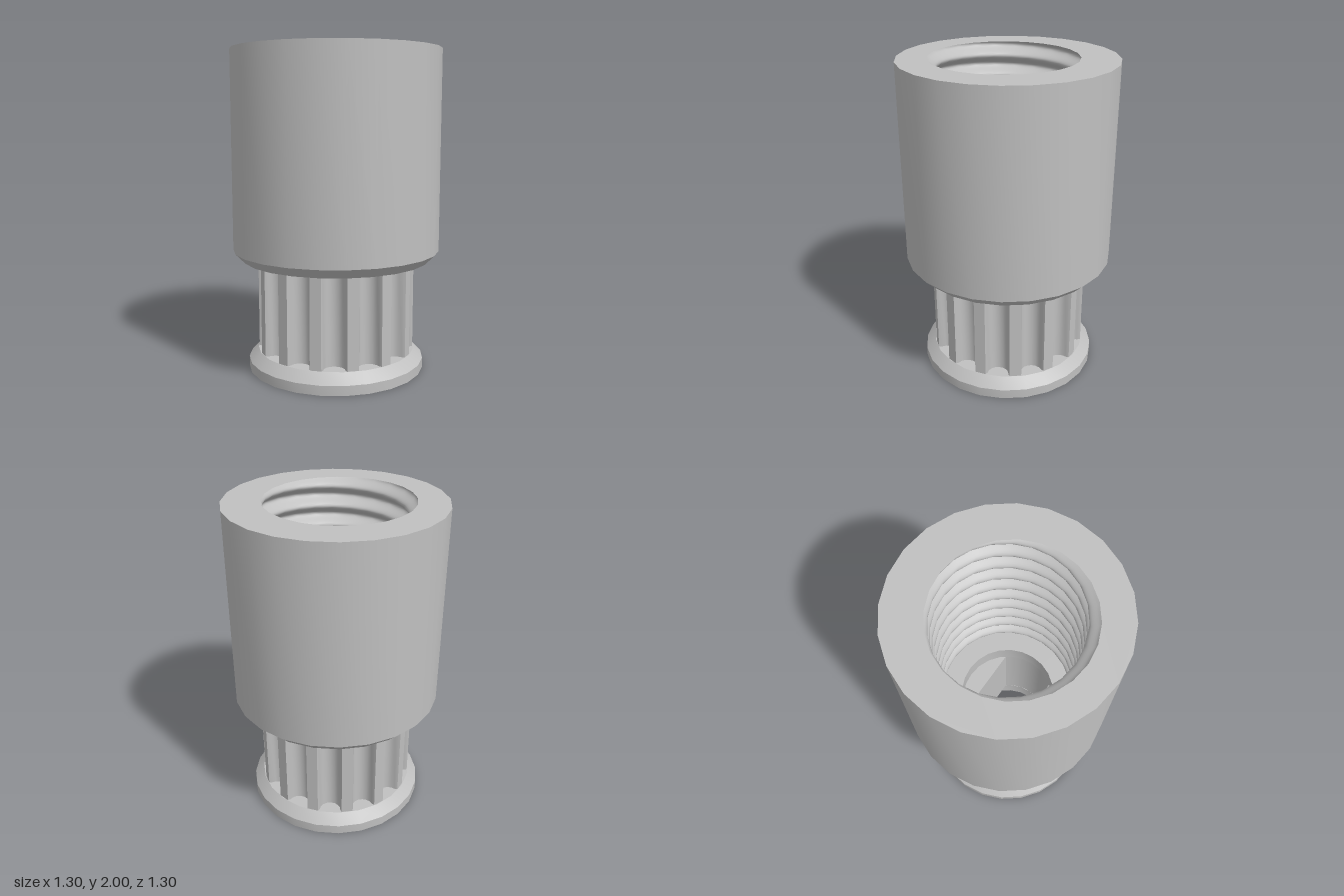
import * as THREE from 'three';
import { toCreasedNormals } from 'three/addons/utils/BufferGeometryUtils.js';

const SIDES = 24, TEETH = 14;
const BORE = 0.3, FLAT = 0.18;
const THREAD = { radius: 0.445, offset: 0.03, pitch: 0.125, bottom: 0.82, top: 2 };

const metal = new THREE.MeshStandardMaterial({ color: 0xc0c0c0 });
metal.name = 'grey metal';

function addMesh(group, name, geometry) {
  const mesh = new THREE.Mesh(geometry, metal);
  mesh.name = name;
  group.add(mesh);
}

function lathe(profile) {
  const points = profile.map(([r, y]) => new THREE.Vector2(r, y));
  return toCreasedNormals(new THREE.LatheGeometry(points, SIDES), 0.5);
}

function circlePoints(radius, cx = 0) {
  return Array.from({ length: SIDES }, (_, i) => {
    const a = (i / SIDES) * Math.PI * 2;
    return new THREE.Vector2(cx + radius * Math.cos(a), radius * Math.sin(a));
  });
}

// Toothed belt section with a double-flat shaft hole
function toothedCore() {
  const points = [];
  for (let t = 0; t < TEETH; t++) {
    const a = -Math.PI / 2 + (t / TEETH) * Math.PI * 2;
    const add = (u, r) => points.push(new THREE.Vector2(
      r * Math.cos(a) - u * Math.sin(a), r * Math.sin(a) + u * Math.cos(a)));
    add(-0.076, 0.489);
    for (let i = 0; i <= 8; i++) {
      const b = (i / 8) * Math.PI;
      add(-0.066 * Math.cos(b), 0.472 - 0.065 * Math.sin(b));
    }
    add(0.076, 0.489);
  }
  const shape = new THREE.Shape(points);
  const corner = Math.acos(FLAT / BORE);
  const hole = new THREE.Path();
  hole.absarc(0, 0, BORE, corner, Math.PI - corner, false);
  hole.absarc(0, 0, BORE, Math.PI + corner, Math.PI * 2 - corner, false);
  hole.closePath();
  shape.holes.push(hole);
  const geometry = new THREE.ExtrudeGeometry(shape, { depth: 0.58, bevelEnabled: false, curveSegments: 8 });
  geometry.rotateX(-Math.PI / 2);
  geometry.translate(0, 0.12, 0);
  return toCreasedNormals(geometry, 0.6);
}

// Internal thread: an off-centre circle twisted around the axis
function threadWall() {
  const { radius, offset, pitch, bottom, top } = THREAD;
  const rings = Math.round(((top - bottom) / pitch) * 20);
  const positions = [], index = [];
  for (let j = 0; j <= rings; j++) {
    const y = bottom + ((top - bottom) * j) / rings;
    const turn = Math.PI + ((y - top) / pitch) * Math.PI * 2;
    for (let i = 0; i < SIDES; i++) {
      const a = (i / SIDES) * Math.PI * 2;
      positions.push(
        offset * Math.cos(turn) + radius * Math.cos(a), y,
        -offset * Math.sin(turn) - radius * Math.sin(a));
      if (j < rings) {
        const p = j * SIDES + i, q = j * SIDES + ((i + 1) % SIDES);
        index.push(p, p + SIDES, q, q, p + SIDES, q + SIDES);
      }
    }
  }
  const geometry = new THREE.BufferGeometry();
  geometry.setAttribute('position', new THREE.Float32BufferAttribute(positions, 3));
  geometry.setIndex(index);
  geometry.computeVertexNormals();
  return geometry;
}

// Flat rim around the threaded opening
function topRim() {
  const shape = new THREE.Shape(circlePoints(0.65));
  shape.holes.push(new THREE.Path(circlePoints(THREAD.radius, -THREAD.offset)));
  const geometry = new THREE.ShapeGeometry(shape);
  geometry.rotateX(-Math.PI / 2);
  geometry.translate(0, THREAD.top, 0);
  return geometry;
}

export function createModel() {
  const group = new THREE.Group();
  group.name = 'threadedBeltPulley';

  addMesh(group, 'bottomFlange', lathe(
    [[BORE, 0], [0.56, 0], [0.56, 0.06], [0.5, 0.12], [BORE, 0.12], [BORE, 0]]));
  addMesh(group, 'toothedCore', toothedCore());

  const collar = new THREE.Group();
  collar.name = 'collar';
  addMesh(collar, 'collarShell', lathe([[BORE, 0.7], [0.59, 0.7], [0.65, 0.76], [0.65, 2]]));
  addMesh(collar, 'collarRim', topRim());
  addMesh(collar, 'collarThread', threadWall());
  addMesh(collar, 'boreShoulder', lathe([[0.48, THREAD.bottom], [BORE, THREAD.bottom], [BORE, 0.7]]));
  group.add(collar);

  return group;
}
